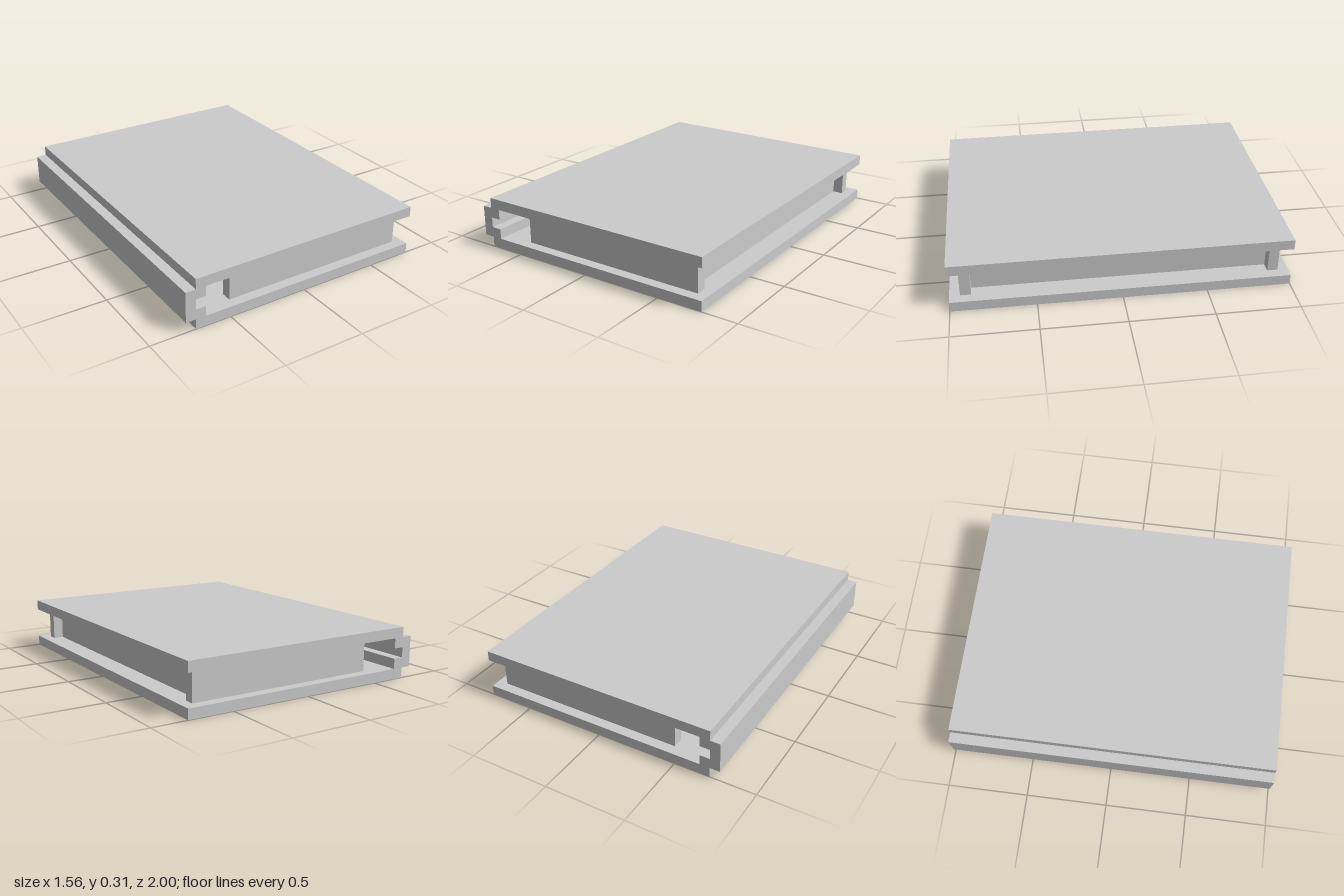
import * as THREE from 'three';

const U = 0.0625; // board thickness; all sizes are multiples of it
const material = new THREE.MeshStandardMaterial({ color: 0xcccccc, flatShading: true });

function board(name, x0, x1, z0, z1) {
  const geo = new THREE.BoxGeometry((x1 - x0) * U, 3 * U, (z1 - z0) * U);
  const mesh = new THREE.Mesh(geo, material);
  mesh.position.set((x0 + x1) / 2 * U, 2.5 * U, (z0 + z1) / 2 * U);
  mesh.name = name;
  return mesh;
}

export function createModel() {
  const group = new THREE.Group();
  group.name = 'slottedCase';

  // C-shaped shell: two panels joined by a stepped, grooved spine
  const profile = [
    [-11.5, 0], [12.5, 0], [12.5, 1], [-10.5, 1], [-10.5, 2], [-11.5, 2],
    [-11.5, 3], [-10.5, 3], [-10.5, 4], [12.5, 4], [12.5, 5], [-11.5, 5],
    [-11.5, 4], [-12.5, 4], [-12.5, 1], [-11.5, 1],
  ].map(([x, y]) => new THREE.Vector2(x * U, y * U));
  const shellGeo = new THREE.ExtrudeGeometry(new THREE.Shape(profile), { depth: 2, bevelEnabled: false });
  shellGeo.translate(0, 0, -1);
  const shell = new THREE.Mesh(shellGeo, material);
  shell.name = 'shell';
  group.add(shell);

  // Recessed end rails between the panels
  group.add(board('frontRail', -7.5, 11.5, 14, 15));
  group.add(board('backRail', -7.5, 11.5, -15, -14));

  // Long wall closing the open side, set in from the rail ends
  group.add(board('sideWall', 9.5, 10.5, -14, 14));

  return group;
}
